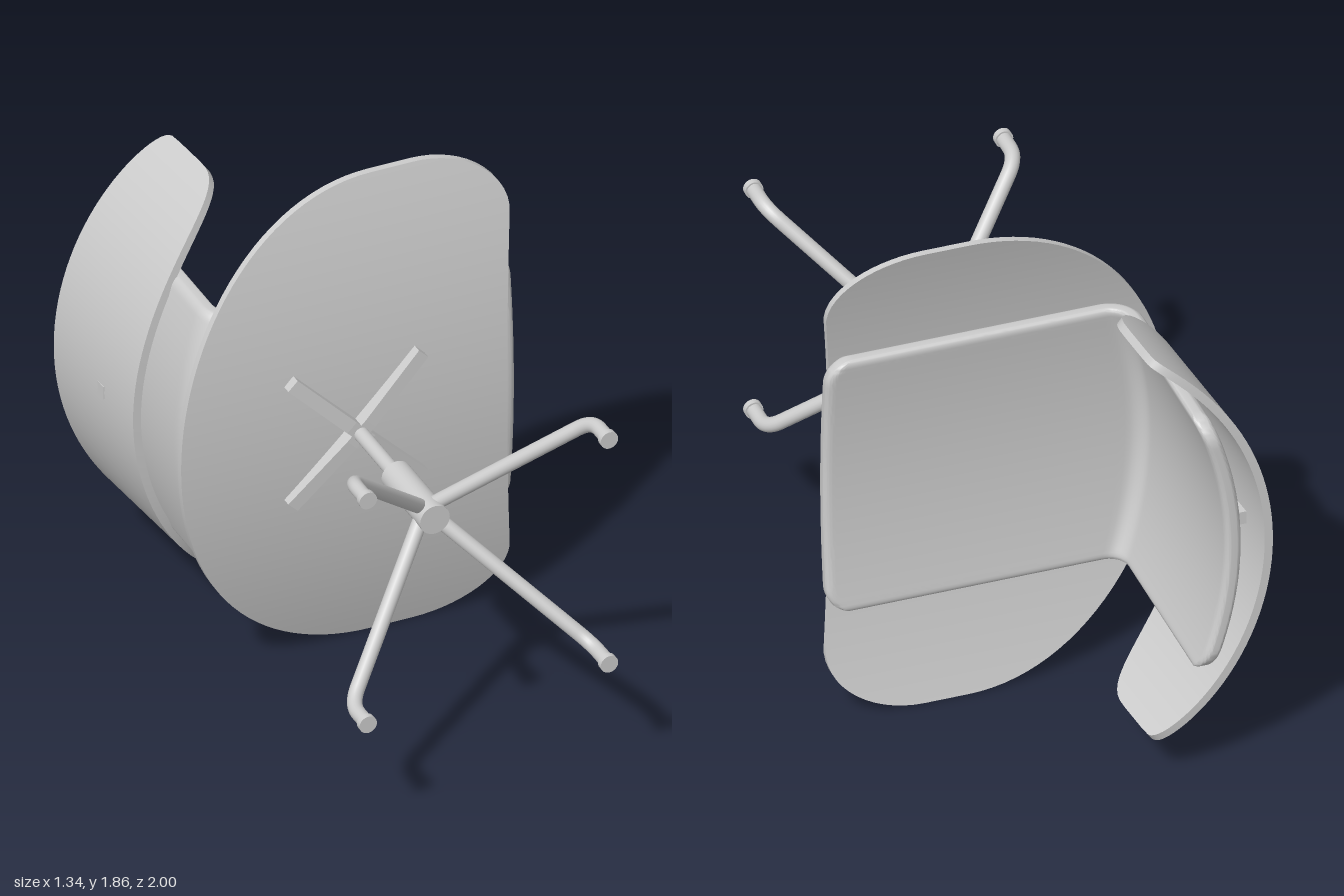
import * as THREE from 'three';
import { toCreasedNormals } from 'three/addons/utils/BufferGeometryUtils.js';

const MID = 0.93;   // height of the chair's symmetry plane
const AXIS = 0.05;  // x of the post
const mat = new THREE.MeshStandardMaterial({ color: 0xcccccc });

function mesh(name, geo, parent) {
  const m = new THREE.Mesh(geo, mat);
  m.name = name;
  parent.add(m);
  return m;
}

// Curved slab: for each distance d from the symmetry plane it spans v = lo(d)..hi(d);
// place(d, v, h) maps to space, h being the offset through the thickness.
function sheet({ D, lo, hi, thick, place, round = 0, n = 56, m = 40 }) {
  const pos = [], idx = [], R = 2 * m + 2;
  for (let i = 0; i <= n; i++) {
    const d = D * Math.sin((i / n - 0.5) * Math.PI);
    const a = lo(Math.abs(d)), b = hi(Math.abs(d));
    for (let k = 0; k < R; k++) {
      const top = k <= m, j = top ? k : R - 1 - k;
      const v = a + (b - a) * (0.5 - 0.5 * Math.cos(Math.PI * j / m));
      let h = thick / 2;
      if (round) {
        const e = Math.min(v - a, b - v, D - Math.abs(d), round) / round;
        h *= 0.35 + 0.65 * Math.sqrt(Math.max(0, 1 - (1 - e) ** 2));
      }
      pos.push(...place(d, v, top ? h : -h));
    }
  }
  const quad = (a, b, c, d) => idx.push(a, b, c, a, c, d);
  for (let i = 0; i < n; i++)
    for (let k = 0; k < R; k++) {
      const k2 = (k + 1) % R;
      quad(i * R + k, (i + 1) * R + k, (i + 1) * R + k2, i * R + k2);
    }
  for (let j = 0; j < m; j++) {
    const b = R - 1 - j, e = n * R;
    quad(b, j, j + 1, b - 1);
    quad(e + b - 1, e + j + 1, e + j, e + b);
  }
  const g = new THREE.BufferGeometry();
  g.setAttribute('position', new THREE.Float32BufferAttribute(pos, 3));
  g.setIndex(idx);
  return toCreasedNormals(g, 0.6);
}

const superArc = (t, p) => Math.pow(Math.max(0, 1 - Math.pow(t, p)), 1 / p);

function seatShell() {
  return sheet({
    D: 0.93, thick: 0.026,
    lo: a => 0.17 - 0.78 * superArc(a / 0.93, 2),
    hi: a => a < 0.69 ? 0.625 + 0.045 * (a / 0.69) ** 2
      : 0.33 + 0.34 * superArc((a - 0.69) / 0.24, 2),
    place: (d, x, h) => [x, MID + d, -0.103 - 0.135 * (d / 0.93) ** 2 - h],
  });
}

function backShell() {
  const R = 0.96;
  return sheet({
    D: 0.78, thick: 0.03,
    lo: a => 0.74 - 0.29 * superArc(a / 0.78, 3),
    hi: a => 0.87 + 0.13 * superArc(a / 0.78, 5),
    place: (d, up, h) => {
      const ang = Math.asin(d / R), r = R + h;
      const x = -0.655 + R - r * Math.cos(ang) + 0.045 * (1 - up) / 0.55;
      return [x, MID + r * Math.sin(ang), -up];
    },
  });
}

// L-shaped cushion: runs back along the seat, turns a fillet, then rises
function cushion() {
  const R = 0.09, W = 0.52, C = 0.1, ARC = R * Math.PI / 2;
  const profile = d => {
    const q = (d / W) ** 2;
    const xv = -0.53 + 0.105 * q, zh = 0.145 + 0.042 * q;
    return { xv, zh, A: 0.67 - xv - R, rise: 1 - zh - R };
  };
  const corner = a => a > W - C ? C - Math.sqrt(Math.max(0, C * C - (a - W + C) ** 2)) : 0;
  return sheet({
    D: W, thick: 0.06, round: 0.03, n: 64, m: 140,
    lo: corner,
    hi: a => { const p = profile(a); return p.A + ARC + p.rise - corner(a); },
    place: (d, v, h) => {
      const { xv, zh, A } = profile(d), y = MID + d;
      if (v < A) return [0.67 - v, y, -zh + h];
      if (v > A + ARC) return [xv - h, y, -(zh + R + v - A - ARC)];
      const t = (v - A) / R;
      return [xv + R - (R + h) * Math.sin(t), y, -(zh + R) + (R + h) * Math.cos(t)];
    },
  });
}

// Round bar along z between z0 and z1
function rod(name, r, z0, z1, x, y, parent) {
  const g = new THREE.CylinderGeometry(r, r, z1 - z0, 32).rotateX(Math.PI / 2);
  mesh(name, g, parent).position.set(x, y, (z0 + z1) / 2);
}

export function createModel() {
  const chair = new THREE.Group();
  chair.name = 'chair';

  // Shells and upholstery
  mesh('seatShell', seatShell(), chair);
  mesh('backrestShell', backShell(), chair);
  mesh('cushion', cushion(), chair);
  mesh('backrestConnector', new THREE.BoxGeometry(0.1, 0.05, 0.2), chair)
    .position.set(-0.595, MID, -0.75);

  // Tapered cross under the seat
  const arm = new THREE.Shape([[-0.35, 0], [0.35, 0], [0.35, 0.035], [0.05, 0.06], [-0.05, 0.06], [-0.35, 0.035]]
    .map(p => new THREE.Vector2(...p)));
  const armGeo = new THREE.ExtrudeGeometry(arm, { depth: 0.05, bevelEnabled: false })
    .translate(0, 0, -0.025).rotateX(Math.PI / 2);
  for (const s of [-1, 1]) {
    const bar = mesh('seatBracket', armGeo, chair);
    bar.position.set(AXIS, MID, -0.1);
    bar.rotation.z = s * Math.PI / 4;
  }

  // Post and sleeve
  rod('post', 0.027, -0.08, 0.27, AXIS, MID, chair);
  rod('sleeve', 0.056, 0.245, 0.56, AXIS, MID, chair);

  // Four bent legs with feet
  const V = (p, z) => new THREE.Vector3(p * Math.SQRT2, 0, z);
  const path = new THREE.CurvePath();
  path.add(new THREE.LineCurve3(V(0.01, 0.485), V(0.415, 0.825)));
  path.add(new THREE.QuadraticBezierCurve3(V(0.415, 0.825), V(0.457, 0.86), V(0.457, 0.92)));
  path.add(new THREE.LineCurve3(V(0.457, 0.92), V(0.457, 0.985)));
  const legGeo = new THREE.TubeGeometry(path, 60, 0.027, 20);
  for (let i = 0; i < 4; i++) {
    const leg = new THREE.Group();
    leg.name = 'leg';
    leg.position.set(AXIS, MID, 0);
    leg.rotation.z = Math.PI / 4 + i * Math.PI / 2;
    mesh('legTube', legGeo, leg);
    rod('foot', 0.033, 0.977, 1, 0.457 * Math.SQRT2, 0, leg);
    chair.add(leg);
  }
  return chair;
}
